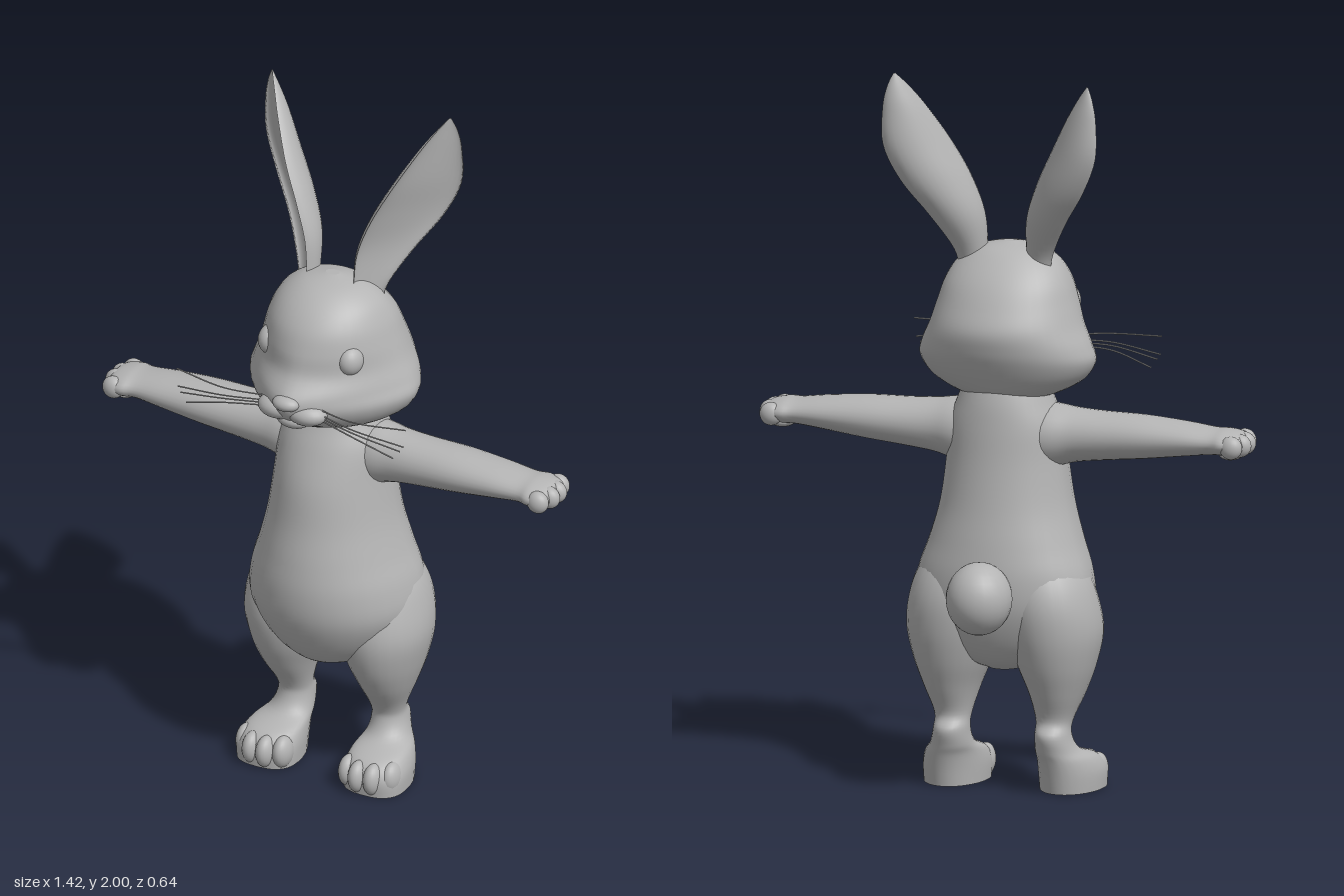
import * as THREE from 'three';

const fur = new THREE.MeshStandardMaterial({ color: 0xb4b4b4 });
fur.name = 'grey fur';

// Smooth closed loft: rows of numbers are splined, ring(row, angle) gives each point
function loft(rows, ring, n = 28, steps = 5) {
  const curves = rows[0].map((_, k) =>
    new THREE.SplineCurve(rows.map((r, i) => new THREE.Vector2(i, r[k]))));
  const m = (rows.length - 1) * steps;
  const pos = [], idx = [];
  for (let i = 0; i <= m; i++) {
    const row = curves.map(c => c.getPoint(i / m).y);
    for (let j = 0; j < n; j++) pos.push(...ring(row, (j / n) * Math.PI * 2));
  }
  for (let i = 0; i < m; i++) {
    for (let j = 0; j < n; j++) {
      const a = i * n + j, b = i * n + (j + 1) % n;
      idx.push(a, b, b + n, a, b + n, a + n);
    }
  }
  // end caps with their own vertices, so the rims stay crisp
  for (const end of [0, m]) {
    const base = pos.length / 3, c = [0, 0, 0];
    for (let j = 0; j < n; j++) {
      for (let k = 0; k < 3; k++) {
        const v = pos[(end * n + j) * 3 + k];
        pos.push(v);
        c[k] += v / n;
      }
    }
    pos.push(...c);
    for (let j = 0; j < n; j++) {
      const a = base + j, b = base + (j + 1) % n;
      if (end) idx.push(a, b, base + n); else idx.push(b, a, base + n);
    }
  }
  const g = new THREE.BufferGeometry();
  g.setAttribute('position', new THREE.Float32BufferAttribute(pos, 3));
  g.setIndex(idx);
  g.computeVertexNormals();
  return g;
}

// Egg-shaped ring: [height, centre x, half width, front z, widest z, back z, front power]
function egg([y, cx, w, zf, zm, zb, p], t) {
  const s = Math.sin(t), c = Math.cos(t), e = c > 0 ? 2 / p : 1;
  const pw = v => Math.sign(v) * Math.pow(Math.abs(v), e);
  return [cx + w * pw(s), y, zm + (c > 0 ? zf - zm : zm - zb) * pw(c)];
}

// Crescent ring for the ears: [height, x, z, half width, depth]
function crescent([y, x, z, w, d], t) {
  const a = w * Math.cos(t), s = Math.sin(t);
  const b = (s > 0 ? -d * s : d * 0.4 * s) + 0.25 * d;
  return [x + 0.7 * a + 0.7 * b, y, z - 0.7 * a + 0.7 * b];
}

function ball(x, y, z, rx, ry, rz) {
  return new THREE.SphereGeometry(1, 24, 16).scale(rx, ry, rz).translate(x, y, z);
}

function mirrored(geo) {
  const g = geo.clone().scale(-1, 1, 1), ix = g.index.array;
  for (let i = 0; i < ix.length; i += 3) [ix[i], ix[i + 1]] = [ix[i + 1], ix[i]];
  return g;
}

export function createModel() {
  const model = new THREE.Group();
  model.name = 'rabbit';
  const add = (name, geo) => {
    const mesh = new THREE.Mesh(geo, fur);
    mesh.name = name;
    model.add(mesh);
  };
  const addPair = (name, geo) => {
    add(name + 'Left', geo);
    add(name + 'Right', mirrored(geo));
  };

  // Torso with the hanging belly and full hips
  add('torso', loft([
    [0.34, 0, 0.05, 0.09, 0.0, -0.06, 2],
    [0.37, 0, 0.13, 0.145, 0.0, -0.11, 2],
    [0.43, 0, 0.2, 0.195, -0.01, -0.15, 2],
    [0.52, 0, 0.248, 0.235, -0.02, -0.18, 2],
    [0.61, 0, 0.242, 0.245, -0.02, -0.186, 2],
    [0.7, 0, 0.212, 0.235, -0.01, -0.175, 2],
    [0.8, 0, 0.185, 0.215, 0.0, -0.157, 2],
    [0.92, 0, 0.168, 0.195, 0.0, -0.14, 2],
    [1.02, 0, 0.16, 0.16, 0.0, -0.13, 2],
    [1.09, 0, 0.135, 0.127, 0.0, -0.12, 2],
    [1.16, 0, 0.11, 0.1, 0.0, -0.1, 2],
  ], egg, 36));

  // Legs: flat sole, foot, ankle and thigh
  addPair('leg', loft([
    [0.0, 0.168, 0.088, 0.16, 0.08, -0.058, 2.6],
    [0.05, 0.167, 0.09, 0.162, 0.08, -0.068, 2.4],
    [0.09, 0.162, 0.08, 0.138, 0.05, -0.078, 2.2],
    [0.12, 0.152, 0.06, 0.055, -0.01, -0.088, 2],
    [0.165, 0.147, 0.05, 0.025, -0.03, -0.098, 2],
    [0.205, 0.147, 0.052, 0.033, -0.02, -0.075, 2],
    [0.28, 0.152, 0.078, 0.085, -0.01, -0.105, 2],
    [0.36, 0.15, 0.108, 0.125, -0.01, -0.138, 2],
    [0.45, 0.145, 0.131, 0.142, -0.01, -0.162, 2],
    [0.54, 0.135, 0.13, 0.125, -0.02, -0.168, 2],
    [0.62, 0.12, 0.115, 0.09, -0.02, -0.145, 2],
    [0.7, 0.1, 0.07, 0.05, -0.02, -0.09, 2],
  ], egg));
  for (const [i, [x, z]] of [[0.104, 0.122], [0.145, 0.142], [0.19, 0.138], [0.228, 0.105]].entries()) {
    addPair('toe' + (i + 1), ball(x, 0.046, z, 0.027, 0.046, 0.04));
  }

  // Arms: lofted upright, then laid along +x
  addPair('arm', loft([
    [0.04, -0.985, 0.095, 0.08, 0.01, -0.085, 2],
    [0.13, -0.992, 0.09, 0.092, 0.01, -0.085, 2],
    [0.2, -0.997, 0.076, 0.088, 0.01, -0.073, 2],
    [0.28, -1.0, 0.068, 0.088, 0.01, -0.07, 2],
    [0.4, -1.005, 0.06, 0.09, 0.01, -0.07, 2],
    [0.52, -1.008, 0.047, 0.085, 0.01, -0.065, 2],
    [0.6, -1.008, 0.037, 0.08, 0.01, -0.06, 2],
    [0.64, -1.008, 0.036, 0.092, 0.01, -0.068, 2],
    [0.68, -1.005, 0.03, 0.082, 0.01, -0.058, 2],
    [0.695, -1.005, 0.012, 0.05, 0.01, -0.03, 2],
  ], egg).rotateZ(-Math.PI / 2));
  for (const [i, z] of [-0.046, -0.008, 0.03, 0.07].entries()) {
    const outer = i === 0 || i === 3;
    addPair('finger' + (i + 1), ball(outer ? 0.667 : 0.68, 1.003, z, 0.032, 0.032, 0.025));
  }
  addPair('palmPad', ball(0.65, 0.977, 0.012, 0.035, 0.018, 0.05));

  // Head, wedge-shaped towards the muzzle
  add('head', loft([
    [1.09, 0, 0.07, 0.09, 0.02, -0.05, 2],
    [1.11, 0, 0.145, 0.16, 0.02, -0.1, 1.9],
    [1.15, 0, 0.217, 0.245, 0.02, -0.132, 1.6],
    [1.2, 0, 0.25, 0.296, 0.02, -0.16, 1.45],
    [1.245, 0, 0.24, 0.3, 0.01, -0.178, 1.45],
    [1.3, 0, 0.215, 0.252, 0.01, -0.186, 1.65],
    [1.36, 0, 0.195, 0.236, 0.01, -0.162, 1.85],
    [1.42, 0, 0.174, 0.212, 0.01, -0.128, 2],
    [1.47, 0, 0.142, 0.17, 0.02, -0.085, 2],
    [1.505, 0, 0.09, 0.115, 0.025, -0.04, 2],
    [1.522, 0, 0.02, 0.045, 0.03, 0.015, 2],
  ], egg, 40));
  add('nose', ball(0, 1.235, 0.288, 0.04, 0.022, 0.03));
  add('chin', ball(0, 1.168, 0.245, 0.05, 0.025, 0.036));
  addPair('muzzlePuff', ball(0.045, 1.2, 0.25, 0.06, 0.034, 0.048));
  addPair('eye', ball(0.124, 1.338, 0.149, 0.036, 0.044, 0.044));

  // Cupped ears opening forwards and outwards
  addPair('ear', loft([
    [1.43, 0.095, 0.01, 0.04, 0.04],
    [1.5, 0.1, 0.0, 0.05, 0.052],
    [1.6, 0.128, -0.03, 0.083, 0.07],
    [1.7, 0.177, -0.06, 0.106, 0.076],
    [1.8, 0.224, -0.083, 0.102, 0.07],
    [1.9, 0.255, -0.104, 0.066, 0.048],
    [1.96, 0.271, -0.118, 0.034, 0.024],
    [2.0, 0.28, -0.127, 0.003, 0.003],
  ], crescent));

  // Whiskers sweep out from the muzzle
  for (const [i, [y0, y1, x1]] of
    [[1.222, 1.232, 0.36], [1.208, 1.18, 0.355], [1.2, 1.165, 0.345], [1.192, 1.14, 0.325]].entries()) {
    const path = new THREE.CatmullRomCurve3([
      new THREE.Vector3(0.07, y0 - 0.004, 0.245),
      new THREE.Vector3(0.2, y0 + (y1 - y0) * 0.25, 0.278),
      new THREE.Vector3(x1, y1, 0.258 + i * 0.003),
    ]);
    addPair('whisker' + (i + 1), new THREE.TubeGeometry(path, 16, 0.0022, 6));
  }

  // Round tail
  add('tail', ball(0, 0.57, -0.223, 0.091, 0.101, 0.096));

  return model;
}
